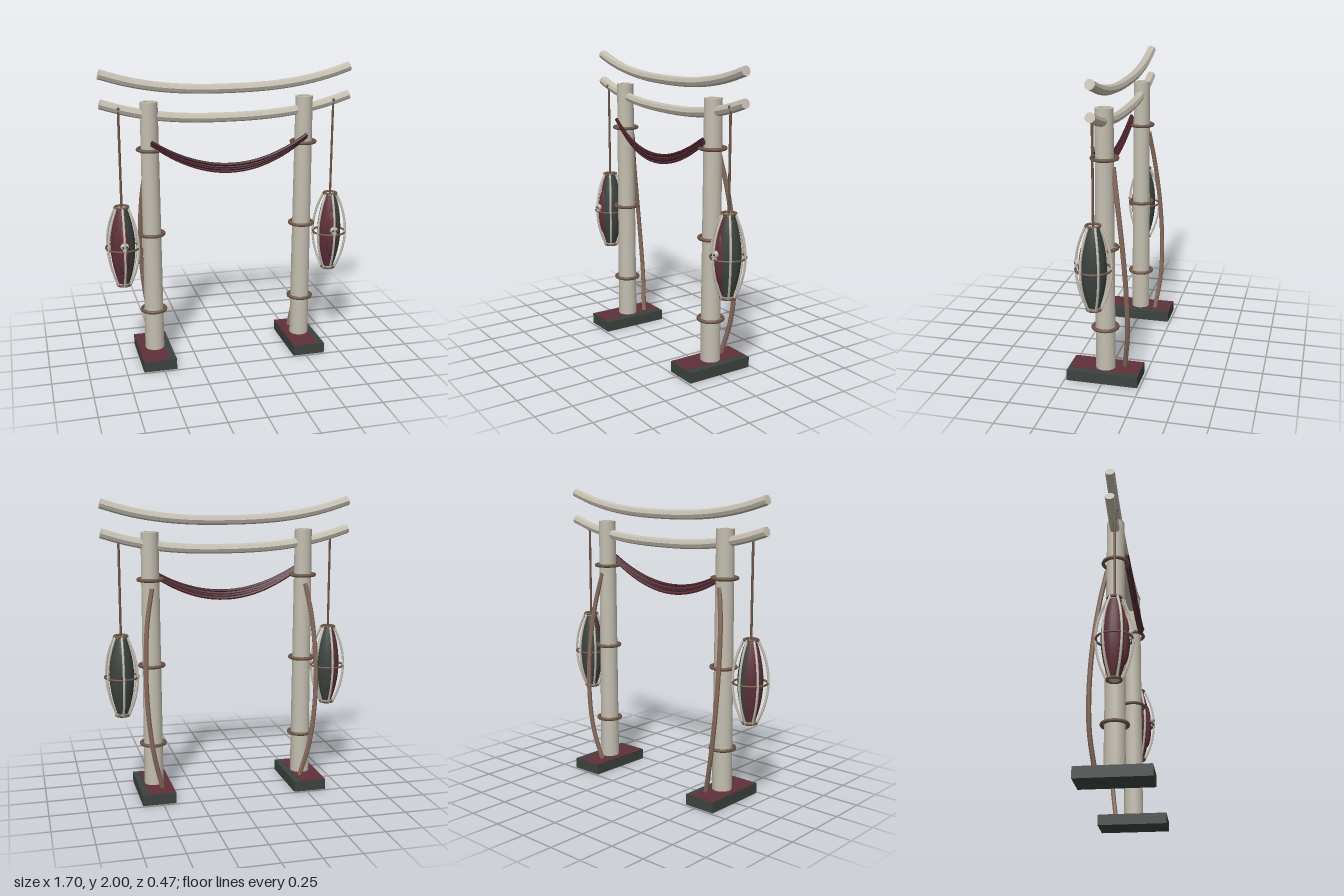
import * as THREE from 'three';
import { toCreasedNormals } from 'three/addons/utils/BufferGeometryUtils.js';

const mat = (name, color, side = THREE.FrontSide) => {
  const m = new THREE.MeshStandardMaterial({ color, side });
  m.name = name;
  return m;
};

export function createModel() {
  const bone = mat('bone', 0xc4beb0);
  const dark = mat('dark slate', 0x3c433f);
  const maroon = mat('maroon', 0x5e303a);
  const cloth = mat('dark maroon', 0x431f2a);
  const rope = mat('rope brown', 0x6e5648);
  const wood = mat('wood brown', 0x85695a);
  const shellDark = mat('slate shell', 0x3c433f, THREE.DoubleSide);
  const shellRed = mat('maroon shell', 0x5e303a, THREE.DoubleSide);

  const model = new THREE.Group();
  model.name = 'gate';
  const V = (x, y, z) => new THREE.Vector3(x, y, z);

  const add = (parent, name, geo, material, x = 0, y = 0, z = 0) => {
    const m = new THREE.Mesh(geo, material);
    m.name = name;
    m.position.set(x, y, z);
    parent.add(m);
    return m;
  };

  // Capped tube along a smooth curve through the points
  const sweep = (parent, name, pts, r, material, sides = 6, segs = 20) => {
    const curve = new THREE.CatmullRomCurve3(pts);
    const g = new THREE.Group();
    g.name = name;
    add(g, name + 'Side', toCreasedNormals(new THREE.TubeGeometry(curve, segs, r, sides), 0.6), material);
    for (const t of [0, 1]) {
      const p = curve.getPointAt(t);
      const dir = curve.getTangentAt(t).multiplyScalar(t ? 1 : -1);
      const cap = add(g, name + 'End', new THREE.CircleGeometry(r, sides), material, p.x, p.y, p.z);
      cap.quaternion.setFromUnitVectors(V(0, 0, 1), dir);
    }
    parent.add(g);
    return g;
  };

  const hoop = (parent, name, R, r, x, y, z) => {
    const h = add(parent, name, new THREE.TorusGeometry(R, r, 8, 24), rope, x, y, z);
    h.rotation.x = Math.PI / 2;
    return h;
  };

  // Two curved crossbeams
  for (const [name, y0] of [['lowerBeam', 1.664], ['upperBeam', 1.853]]) {
    const pts = [];
    for (let i = -6; i <= 6; i++) {
      const t = i / 6;
      pts.push(V(0.84 * t, y0 + 0.118 * Math.pow(Math.abs(t), 2.5), 0));
    }
    sweep(model, name, pts, 0.032, bone, 8, 32);
  }

  // Sagging bundle of cloth strands between the posts
  for (let k = 0; k < 4; k++) {
    const pts = [];
    for (let i = -6; i <= 6; i++) {
      const t = i / 6, bulge = 1 - t * t;
      const spread = (k - 1.5) * (0.006 + 0.01 * bulge);
      pts.push(V(0.525 * t, 1.527 - 0.185 * bulge + spread,
        0.07 + 0.024 * bulge + (k - 1.5) * 0.004));
    }
    sweep(model, 'clothStrand', pts, 0.012, k % 2 ? cloth : maroon, 6, 28);
  }

  // Foot block with a maroon top and a slate strip along one edge
  const buildFoot = (x) => {
    add(model, 'footBlock', new THREE.BoxGeometry(0.224, 0.072, 0.47), dark, x, 0.036, 0);
    add(model, 'footTop', new THREE.BoxGeometry(0.176, 0.004, 0.46), maroon, x - 0.022, 0.072, 0);
  };

  // Post with a shallow hollow in its top
  const buildPost = (x) => {
    const profile = [[0.066, 0.07], [0.058, 1.785], [0.035, 1.785], [0.033, 1.75], [0, 1.75]]
      .map(([r, y]) => new THREE.Vector2(r, y));
    add(model, 'post', toCreasedNormals(new THREE.LatheGeometry(profile, 14), 0.6), bone, x, 0, 0);
    for (const y of [0.358, 0.9, 1.475]) hoop(model, 'postRing', 0.08, 0.012, x, y, 0);
  };

  // Bowed pole leaning on the back of the post
  const buildPole = (s) => sweep(model, 'bowedPole', [
    V(s * 0.525, 1.42, -0.055), V(s * 0.565, 1.2, -0.09), V(s * 0.585, 0.9, -0.128),
    V(s * 0.578, 0.6, -0.15), V(s * 0.545, 0.32, -0.15), V(s * 0.487, 0.075, -0.12),
  ], 0.016, wood, 7, 24);

  // Small skull charm
  const buildCharm = (parent) => {
    const g = new THREE.Group();
    g.name = 'skullCharm';
    const head = add(g, 'skull', new THREE.SphereGeometry(0.026, 12, 8), bone, 0, 0.025, 0);
    head.scale.set(1.1, 0.9, 0.7);
    add(g, 'jaw', new THREE.BoxGeometry(0.026, 0.026, 0.02), bone, 0, -0.004, 0.004);
    for (const s of [-1, 1]) {
      add(g, 'eyeSocket', new THREE.SphereGeometry(0.007, 8, 6), dark, s * 0.011, 0.025, 0.015);
    }
    g.position.set(0, 0.835, 0.1);
    parent.add(g);
  };

  // Hanging caged lantern; redStart is where the maroon side of the shell begins
  const buildLantern = (x, redStart) => {
    const g = new THREE.Group();
    g.name = 'lantern';
    g.position.set(x, 0, 0.02);
    const cy = 0.832, half = 0.27;
    const profile = [];
    for (let i = 0; i <= 10; i++) {
      const t = i / 5 - 1;
      profile.push(new THREE.Vector2(0.035 + 0.047 * (1 - t * t), cy + t * (half - 0.01)));
    }
    const end = Math.PI * 2.08;
    add(g, 'shellRed', new THREE.LatheGeometry(profile, 10, redStart, end - redStart), shellRed);
    add(g, 'shellDark', new THREE.LatheGeometry(profile, 12, end, Math.PI * 2 - (end - redStart)), shellDark);
    const panel = add(g, 'frontPanel', new THREE.SphereGeometry(1, 14, 10), maroon, -0.003, 0.82, 0.055);
    panel.scale.set(0.045, 0.17, 0.04);

    // Cage ribs
    for (let k = 0; k < 6; k++) {
      const a = k * Math.PI / 3, pts = [];
      for (let i = 0; i <= 6; i++) {
        const t = i / 3 - 1, r = 0.045 + 0.069 * (1 - t * t);
        pts.push(V(r * Math.sin(a), cy + t * half, r * Math.cos(a)));
      }
      sweep(g, 'cageRib', pts, 0.008, bone, 6, 14);
    }
    hoop(g, 'middleHoop', 0.112, 0.007, 0, 0.826, 0);
    for (const s of [-1, 1]) {
      hoop(g, 'endHoop', 0.043, 0.009, 0, cy + s * half, 0);
      add(g, 'endPlate', new THREE.CylinderGeometry(0.038, 0.038, 0.008, 14), bone, 0, cy + s * (half - 0.008), 0);
    }
    buildCharm(g);

    // Hanging cord and knot over the beam
    add(g, 'cord', new THREE.CylinderGeometry(0.008, 0.008, 0.66, 8), rope, 0, 1.425, 0);
    add(g, 'cordKnot', new THREE.SphereGeometry(0.011, 8, 6), rope, 0, 1.752, 0.008);
    model.add(g);
  };

  for (const s of [-1, 1]) {
    buildFoot(s * 0.525);
    buildPost(s * 0.525);
    buildPole(s);
    buildLantern(s * 0.725, s < 0 ? Math.PI * 1.06 : Math.PI * 1.55);
  }
  return model;
}
